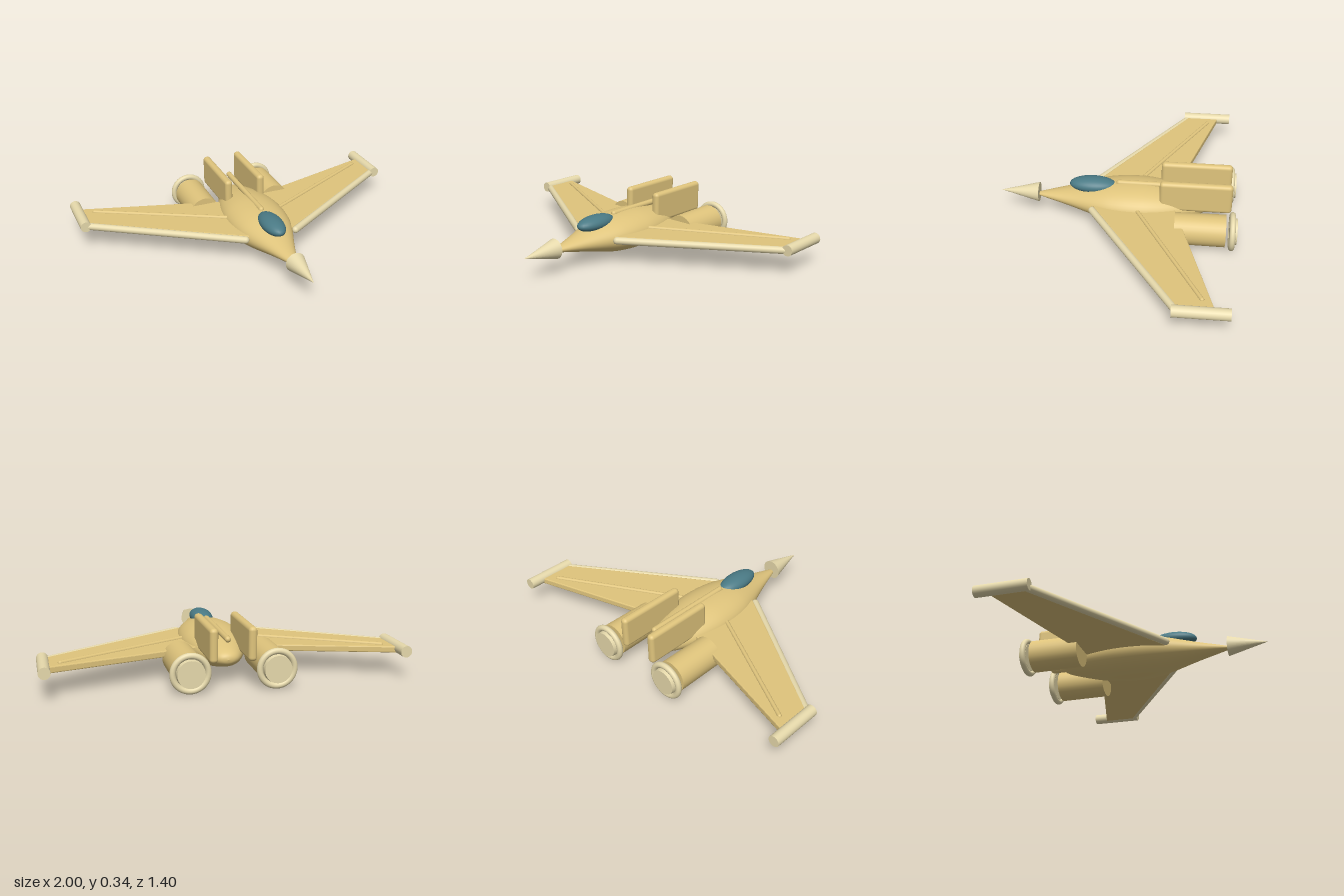
import * as THREE from 'three';
import { RoundedBoxGeometry } from 'three/addons/geometries/RoundedBoxGeometry.js';

const body = new THREE.MeshStandardMaterial({ color: 0xdfc47c });
const trim = new THREE.MeshStandardMaterial({ color: 0xe6d9ab });
const glass = new THREE.MeshStandardMaterial({ color: 0x4a7a85 });

export function createModel() {
  const model = new THREE.Group();
  model.name = 'jet';

  const add = (name, geometry, material, x = 0, y = 0, z = 0) => {
    const mesh = new THREE.Mesh(geometry, material);
    mesh.name = name;
    mesh.position.set(x, y, z);
    model.add(mesh);
    return mesh;
  };

  // Cylinder, cone or capsule lying along z, its top end facing forward
  const alongZ = (geometry) => geometry.rotateX(Math.PI / 2);

  // Round-ended bar between two points
  const rod = (name, a, b, radius, material) => {
    const dir = b.clone().sub(a);
    const length = dir.length();
    const mesh = add(name, new THREE.CapsuleGeometry(radius, length - 2 * radius, 6, 16), material);
    mesh.position.copy(a).add(b).multiplyScalar(0.5);
    mesh.quaternion.setFromUnitVectors(new THREE.Vector3(0, 1, 0), dir.normalize());
    return mesh;
  };

  // Fuselage: smooth turned profile (half-width, z), flattened in height
  const outline = new THREE.SplineCurve([
    [0, -0.55], [0.04, -0.54], [0.075, -0.505], [0.115, -0.42], [0.155, -0.31],
    [0.18, -0.19], [0.184, -0.09], [0.175, 0.01], [0.15, 0.11], [0.08, 0.29], [0.014, 0.475], [0, 0.48],
  ].map(([r, z]) => new THREE.Vector2(r, z)));
  const profile = outline.getPoints(60).map((p) => new THREE.Vector2(Math.max(p.x, 0), p.y));
  add('fuselage', alongZ(new THREE.LatheGeometry(profile, 48)).scale(1, 0.62, 1), body, 0, 0.137, 0);

  // Nose, canopy and dorsal spine
  add('noseCone', alongZ(new THREE.ConeGeometry(0.058, 0.23, 32)), trim, 0, 0.148, 0.585);
  add('canopy', new THREE.SphereGeometry(1, 32, 20).scale(0.065, 0.045, 0.138), glass, 0, 0.226, 0.147);
  rod('spine', new THREE.Vector3(0, 0.246, 0.01), new THREE.Vector3(0, 0.246, -0.545), 0.017, body);

  for (const side of [1, -1]) {
    const label = side > 0 ? 'left' : 'right';
    const at = (x, y, z) => new THREE.Vector3(side * x, y, z);

    // Swept wing panel, extruded upward from its plan outline
    const plan = new THREE.Shape([[0.1, 0.15], [0.15, 0.125], [0.95, -0.385], [0.95, -0.58], [0.1, -0.335]]
      .map(([x, z]) => new THREE.Vector2(side * x, -z)));
    const wing = new THREE.ExtrudeGeometry(plan, {
      depth: 0.024, bevelEnabled: true, bevelThickness: 0.006, bevelSize: 0.006, bevelOffset: -0.006, bevelSegments: 2,
    }).rotateX(-Math.PI / 2);
    add(label + 'Wing', wing, body, 0, 0.136, 0);

    // Leading edge, raised spar and wingtip pod
    rod(label + 'LeadingEdge', at(0.14, 0.148, 0.148), at(0.965, 0.148, -0.39), 0.021, trim);
    rod(label + 'WingSpar', at(0.14, 0.166, -0.112), at(0.892, 0.166, -0.518), 0.012, body);
    add(label + 'TipPod', alongZ(new THREE.CylinderGeometry(0.032, 0.032, 0.3, 24)), trim, side * 0.968, 0.155, -0.51);

    // Upright tail fin
    add(label + 'Fin', new RoundedBoxGeometry(0.046, 0.185, 0.417, 4, 0.021), body, side * 0.104, 0.2445, -0.458);

    // Engine nacelle, exhaust ring and nozzle plate
    const ex = side * 0.232;
    add(label + 'Nacelle', alongZ(new THREE.CylinderGeometry(0.091, 0.093, 0.29, 32)), body, ex, 0.113, -0.49);
    add(label + 'ExhaustRing', new THREE.TorusGeometry(0.094, 0.017, 14, 40), trim, ex, 0.112, -0.672);
    add(label + 'Nozzle', alongZ(new THREE.CylinderGeometry(0.079, 0.074, 0.04, 32)), trim, ex, 0.112, -0.68);
  }

  return model;
}
